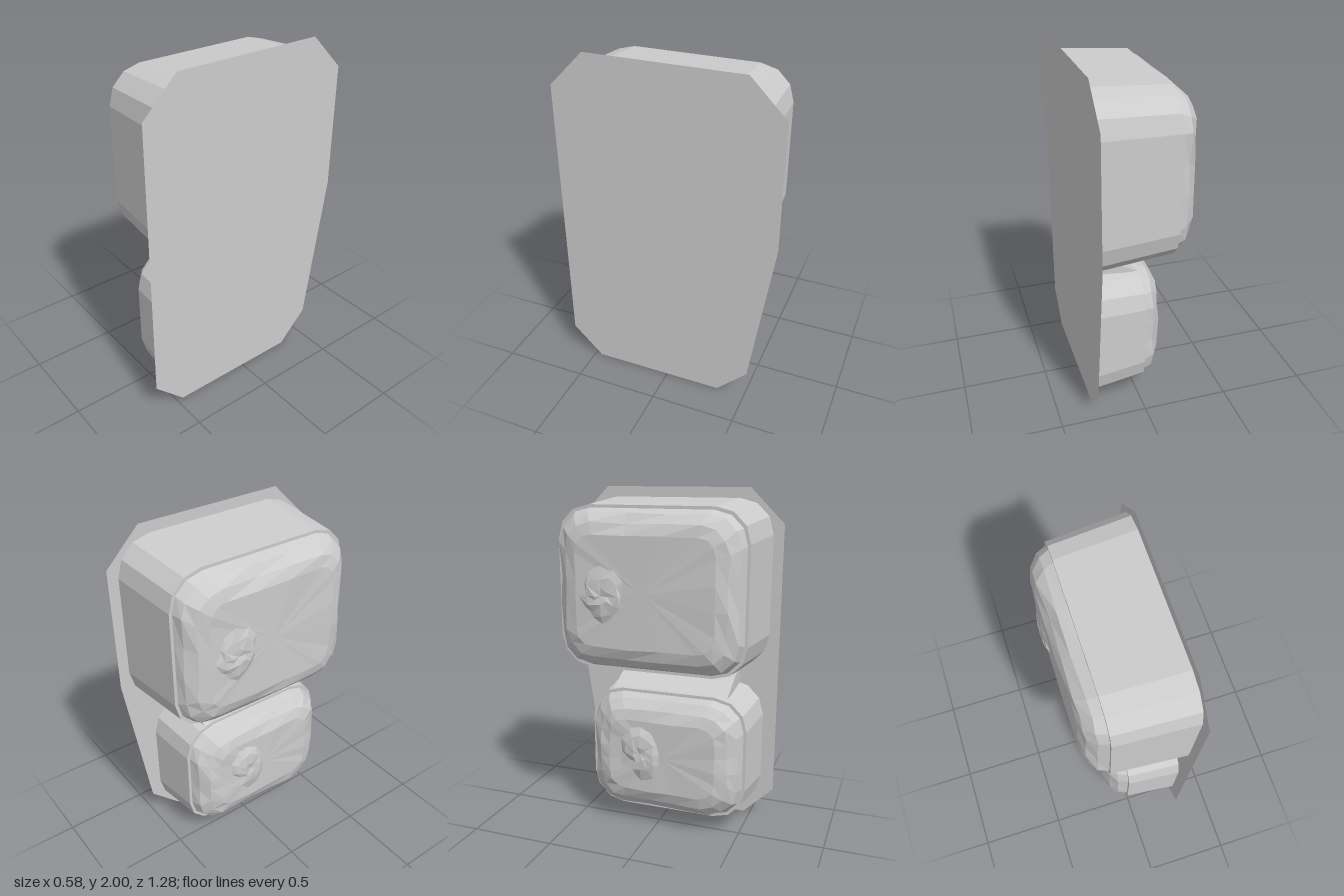
import * as THREE from 'three';

const PLATE_X = 0.285;

// Small seeded generator for the rough, hand-dented facets
function seeded(seed) {
  let s = seed;
  return () => {
    s = (s * 16807) % 2147483647;
    return s / 2147483647 - 0.5;
  };
}

// Outline of a rounded rectangle in (z, y), counter-clockwise seen from -x
function roundedRing(halfZ, halfY, radius, cornerSteps = 3, sideSteps = 3) {
  const corners = [[1, 1], [-1, 1], [-1, -1], [1, -1]];
  const arcs = corners.map(([sz, sy], q) => {
    const arc = [];
    for (let i = 0; i <= cornerSteps; i++) {
      const a = (q + i / cornerSteps) * Math.PI / 2;
      arc.push([
        sz * (halfZ - radius) + radius * Math.cos(a),
        sy * (halfY - radius) + radius * Math.sin(a),
      ]);
    }
    return arc;
  });
  const ring = [];
  arcs.forEach((arc, q) => {
    ring.push(...arc);
    const from = arc[cornerSteps], to = arcs[(q + 1) % 4][0];
    for (let i = 1; i < sideSteps; i++) {
      const t = i / sideSteps;
      ring.push([from[0] + (to[0] - from[0]) * t, from[1] + (to[1] - from[1]) * t]);
    }
  });
  return ring;
}

// Skin a stack of rings running towards -x and close the last with a fan
function loft(rings, tip) {
  const n = rings[0].length;
  const positions = rings.flat(2).concat(tip);
  const index = [];
  for (let i = 0; i < rings.length - 1; i++) {
    for (let j = 0; j < n; j++) {
      const k = (j + 1) % n;
      const a = i * n + j, b = i * n + k, c = b + n, d = a + n;
      index.push(a, b, c, a, c, d);
    }
  }
  const last = (rings.length - 1) * n;
  for (let j = 0; j < n; j++) index.push(rings.length * n, last + j, last + (j + 1) % n);
  const g = new THREE.BufferGeometry();
  g.setAttribute('position', new THREE.Float32BufferAttribute(positions, 3));
  g.setIndex(index);
  const flat = g.toNonIndexed();
  flat.computeVertexNormals();
  return flat;
}

// Tapered tub with a small shoulder step and a rounded, dented end
function podGeometry({ y, z, halfY, halfZ, shoulderX, seed }) {
  const rand = seeded(seed);
  // depth past the shoulder, inset, corner radius, dent size
  const profile = [
    [PLATE_X - shoulderX, 0, 0.2, 0],
    [0, 0.028, 0.19, 0],
    [0, 0.045, 0.18, 0],
    [-0.055, 0.065, 0.17, 0.012],
    [-0.1, 0.115, 0.15, 0.016],
    [-0.12, 0.18, 0.1, 0.008],
  ];
  const rings = profile.map(([dx, inset, r, dent]) =>
    roundedRing(halfZ - inset, halfY - inset, r).map(([pz, py]) => [
      shoulderX + dx + rand() * dent,
      y + py + rand() * dent,
      z + pz + rand() * dent,
    ]));
  return loft(rings, [shoulderX - 0.12, y, z]);
}

// Low crumpled patch on the end of a pod
function crumpleGeometry(x, y, z, seed) {
  const rand = seeded(seed);
  const rings = [[0.004, 1], [-0.012, 0.65], [-0.018, 0.3]].map(([dx, s]) => {
    const ring = [];
    for (let i = 0; i < 12; i++) {
      const a = i / 12 * Math.PI * 2;
      const r = s * (0.14 + rand() * 0.05);
      ring.push([x + dx + (s < 1 ? rand() * 0.012 : 0), y + r * 1.15 * Math.sin(a), z + r * Math.cos(a)]);
    }
    return ring;
  });
  return loft(rings, [x - 0.012, y, z]);
}

export function createModel() {
  const group = new THREE.Group();
  const grey = new THREE.MeshStandardMaterial({
    color: 0xcccccc, flatShading: true, side: THREE.DoubleSide,
  });
  grey.name = 'light grey';
  const add = (name, geometry) => {
    const mesh = new THREE.Mesh(geometry, grey);
    mesh.name = name;
    group.add(mesh);
    return mesh;
  };

  // Flat mounting sheet with clipped corners; local x runs towards -z
  const outline = [[-0.46, 0], [0.33, 0], [0.51, 0.18], [0.64, 1.08],
    [0.64, 1.8], [0.44, 2], [-0.44, 2], [-0.64, 1.8], [-0.64, 0.18]];
  const sheet = new THREE.Shape(outline.map(([a, b]) => new THREE.Vector2(a, b)));
  const plate = add('mountingPlate', new THREE.ShapeGeometry(sheet));
  plate.rotation.y = Math.PI / 2;
  plate.position.x = PLATE_X + 0.003;

  // Large upper pod and smaller lower pod
  add('upperPod', podGeometry({
    y: 1.45, z: 0, halfY: 0.49, halfZ: 0.58, shoulderX: -0.15, seed: 71,
  }));
  add('lowerPod', podGeometry({
    y: 0.465, z: 0.055, halfY: 0.4, halfZ: 0.505, shoulderX: -0.02, seed: 913,
  }));
  add('upperCrumple', crumpleGeometry(-0.27, 1.43, -0.24, 37));
  add('lowerCrumple', crumpleGeometry(-0.143, 0.485, -0.07, 555));

  // Sloping web that joins the lower pod to the underside of the upper pod
  const web = new THREE.Shape([
    new THREE.Vector2(-0.01, 0.83), new THREE.Vector2(PLATE_X, 0.83),
    new THREE.Vector2(PLATE_X, 0.97), new THREE.Vector2(0.24, 0.955),
  ]);
  const webGeometry = new THREE.ExtrudeGeometry(web, { depth: 0.7, bevelEnabled: false });
  add('joiningWeb', webGeometry.translate(0, 0, -0.29));

  return group;
}
